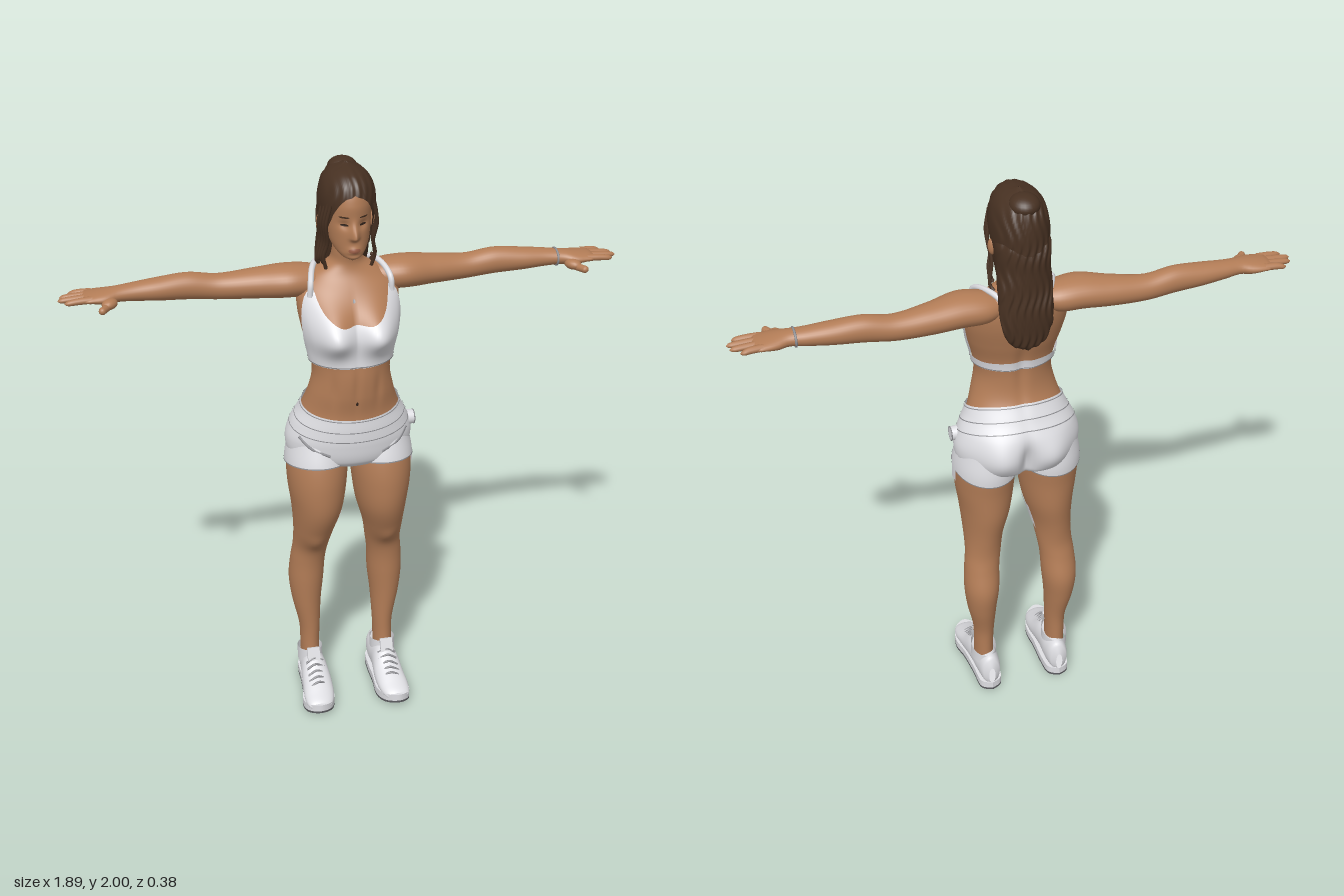
import * as THREE from 'three';
import { mergeVertices } from 'three/addons/utils/BufferGeometryUtils.js';

const PI = Math.PI;
const mat = (name, color, side = THREE.FrontSide) => Object.assign(new THREE.MeshStandardMaterial({ color, side }), { name });
const bell = (d, w) => Math.exp(-((d / w) ** 2));

// Smooth interpolation of table rows [t, ...values]
function at(rows, t) {
  const n = rows.length - 1;
  t = Math.min(Math.max(t, rows[0][0]), rows[n][0]);
  let i = 0;
  while (i < n - 1 && t > rows[i + 1][0]) i++;
  const h = rows[i + 1][0] - rows[i][0], s = (t - rows[i][0]) / h;
  const slope = (k, c) => {
    const a = rows[Math.max(k - 1, 0)], b = rows[Math.min(k + 1, n)];
    return (b[c] - a[c]) / (b[0] - a[0]);
  };
  return rows[i].slice(1).map((p, c) => {
    const q = rows[i + 1][c + 1];
    return p + (q - p) * s * s * (3 - 2 * s) + h * s * (1 - s) * ((1 - s) * slope(i, c + 1) - s * slope(i + 1, c + 1));
  });
}

// Body surface from rows [y, centreX, radiusX, zBack, zFront]; angle 0 is the front
const surface = (rows, bump = () => 0) => (y, a, off = 0) => {
  const [cx, rx, zb, zf] = at(rows, y);
  const x = cx + (Math.max(rx, 0.001) + off) * Math.sin(a);
  const z = (zb + zf) / 2 + (Math.max((zf - zb) / 2, 0.001) + off) * Math.cos(a);
  return new THREE.Vector3(x, y, z + bump(x, y, Math.cos(a)));
};

// Grid of points f(u, v), welded and smooth
function patch(f, nu, nv) {
  const pos = [], idx = [];
  for (let j = 0; j <= nv; j++) for (let i = 0; i <= nu; i++) pos.push(...f(i / nu, j / nv).toArray());
  for (let j = 0; j < nv; j++) for (let i = 0; i < nu; i++) {
    const a = j * (nu + 1) + i, b = a + nu + 1;
    idx.push(a, a + 1, b + 1, a, b + 1, b);
  }
  let g = new THREE.BufferGeometry();
  g.setAttribute('position', new THREE.Float32BufferAttribute(pos, 3));
  g.setIndex(idx);
  g = mergeVertices(g, 1e-5);
  g.computeVertexNormals();
  return g;
}

// Part of a surface between two heights, which may vary with the angle
function shell(s, lo, hi, off = 0, nu = 48, nv = 40, a0 = -PI, a1 = PI) {
  const val = (h, a) => (typeof h === 'function' ? h(a) : h);
  return patch((u, v) => {
    const a = a0 + (a1 - a0) * u, l = val(lo, a);
    return s(l + (val(hi, a) - l) * v, a, off);
  }, nu, nv);
}
const whole = (rows, nu, nv, bump) => shell(surface(rows, bump), rows[0][0], rows[rows.length - 1][0], 0, nu, nv);

// Oval painted detail lying on a surface
const decal = (s, y, a, ry, ra) => patch((u, v) =>
  s(y + ry * (1 - v) * Math.sin(u * 2 * PI), a + ra * (1 - v) * Math.cos(u * 2 * PI), 0.002), 20, 4);

const tube = (pts, r) => new THREE.TubeGeometry(
  new THREE.CatmullRomCurve3(pts.map(p => (p.isVector3 ? p : new THREE.Vector3(...p)))), 24, r, 8);

function mirror(g) {
  const m = g.index ? g.clone() : mergeVertices(g);
  m.scale(-1, 1, 1);
  const ix = m.index.array;
  for (let i = 0; i < ix.length; i += 3) [ix[i], ix[i + 1]] = [ix[i + 1], ix[i]];
  return m;
}

const TORSO = [
  [0.935, 0, 0.004, -0.03, -0.01], [0.945, 0, 0.06, -0.09, 0.04], [0.965, 0, 0.165, -0.135, 0.08], [0.99, 0, 0.2, -0.152, 0.103],
  [1.05, 0, 0.213, -0.163, 0.115], [1.11, 0, 0.197, -0.16, 0.117], [1.17, 0, 0.168, -0.13, 0.115],
  [1.24, 0, 0.145, -0.095, 0.125], [1.31, 0, 0.132, -0.085, 0.128], [1.38, 0, 0.142, -0.09, 0.12],
  [1.45, 0, 0.16, -0.11, 0.112], [1.53, 0, 0.172, -0.13, 0.085], [1.59, 0, 0.165, -0.135, 0.05],
  [1.635, 0, 0.12, -0.13, 0.02], [1.67, 0, 0.062, -0.11, 0.01], [1.71, 0, 0.05, -0.095, 0.015], [1.78, 0, 0.05, -0.09, 0.02]];
const LEG = [
  [0.06, 0.137, 0.034, -0.11, 0], [0.18, 0.137, 0.034, -0.11, -0.01], [0.25, 0.137, 0.037, -0.115, -0.01],
  [0.36, 0.145, 0.052, -0.14, -0.005], [0.45, 0.145, 0.062, -0.15, 0], [0.54, 0.14, 0.062, -0.13, 0.005],
  [0.6, 0.132, 0.063, -0.12, 0.02], [0.68, 0.125, 0.07, -0.125, 0.07], [0.78, 0.115, 0.088, -0.14, 0.113],
  [0.88, 0.114, 0.102, -0.145, 0.122], [0.97, 0.112, 0.105, -0.152, 0.112], [1.06, 0.11, 0.09, -0.14, 0.085]];
const ARM = [
  [0.06, 0, 0.03, -0.11, -0.02], [0.12, 0.002, 0.05, -0.135, 0], [0.2, 0, 0.055, -0.14, 0.01],
  [0.3, 0.007, 0.05, -0.14, -0.02], [0.42, 0.012, 0.043, -0.135, -0.045], [0.52, 0, 0.045, -0.13, -0.045],
  [0.62, 0, 0.038, -0.125, -0.04], [0.7, 0, 0.03, -0.115, -0.04], [0.755, 0, 0.025, -0.107, -0.033],
  [0.79, 0.003, 0.024, -0.117, -0.018], [0.83, 0.002, 0.018, -0.122, -0.018], [0.862, 0.002, 0.012, -0.117, -0.023], [0.872, 0.002, 0.002, -0.09, -0.05]];
const HEAD = [
  [1.7, 0, 0.004, 0.03, 0.05], [1.715, 0, 0.034, -0.02, 0.075], [1.745, 0, 0.058, -0.08, 0.075],
  [1.79, 0, 0.071, -0.13, 0.077], [1.84, 0, 0.076, -0.15, 0.075], [1.89, 0, 0.077, -0.155, 0.077],
  [1.94, 0, 0.066, -0.14, 0.06], [1.975, 0, 0.04, -0.1, 0.02], [1.985, 0, 0.004, -0.05, -0.03]];
const CAP = [
  [1.7, 0, 0.078, -0.17, 0.02], [1.8, 0, 0.088, -0.178, 0.06], [1.88, 0, 0.094, -0.178, 0.088],
  [1.94, 0, 0.083, -0.165, 0.08], [1.975, 0, 0.058, -0.14, 0.05], [1.99, 0, 0.028, -0.1, 0.005], [1.996, 0, 0.003, -0.06, -0.05]];
const MANE = [
  [1.465, 0, 0.004, -0.15, -0.13], [1.49, 0, 0.055, -0.172, -0.112], [1.56, 0, 0.085, -0.182, -0.1],
  [1.66, 0, 0.09, -0.182, -0.06], [1.75, 0, 0.088, -0.18, -0.015], [1.83, 0, 0.09, -0.177, 0], [1.88, 0, 0.07, -0.15, -0.03]];
const SHOE = [
  [-0.15, 0.13, 0.012, -0.1, -0.03], [-0.14, 0.13, 0.032, -0.135, -0.02], [-0.09, 0.13, 0.042, -0.145, -0.015],
  [-0.03, 0.133, 0.045, -0.15, -0.015], [0.01, 0.134, 0.049, -0.145, -0.015], [0.07, 0.135, 0.054, -0.105, -0.015],
  [0.13, 0.14, 0.053, -0.075, -0.015], [0.172, 0.144, 0.038, -0.056, -0.02], [0.188, 0.145, 0.006, -0.042, -0.03]];

// Bust, abdomen groove, buttocks and spine
function torsoForm(x, y, c) {
  const ax = Math.abs(x), f = Math.min(1, Math.max(0, c * 2)), b = Math.min(1, Math.max(0, -c * 2));
  const bust = 0.068 * bell(ax - 0.078, 0.066) * bell(y - 1.462, y > 1.462 ? 0.078 : 0.064);
  const seat = 0.03 * bell(ax - 0.095, 0.065) * bell(y - 1.035, 0.07) - 0.03 * bell(x, 0.022) * bell(y - 1.02, 0.07);
  const abs = 0.006 * bell(x, 0.012) * bell(y - 1.28, 0.08) + 0.006 * bell(ax - 0.075, 0.014) * bell(y - 1.26, 0.06);
  return f * (bust - abs) - b * (seat - 0.01 * bell(x, 0.02) * bell(y - 1.36, 0.14));
}
// Nose, eye sockets, lips and chin
function faceForm(x, y, c) {
  if (c < 0.3) return 0;
  const ax = Math.abs(x);
  return 0.026 * bell(x, 0.013) * bell(y - 1.787, y > 1.787 ? 0.035 : 0.01) - 0.009 * bell(ax - 0.031, 0.017) * bell(y - 1.826, 0.014)
    + 0.007 * bell(x, 0.022) * bell(y - 1.742, 0.012) - 0.004 * bell(x, 0.025) * bell(y - 1.725, 0.007);
}
const hairWave = (x, y, c) => 0.004 * Math.sin(x * 260 + Math.sin(y * 38) * 2.2) * (c < 0 ? 1 : 0.6);

export function createModel() {
  const root = new THREE.Group();
  root.name = 'woman';
  const skin = mat('skin', 0xb27c56), white = mat('white cloth', 0xdedee2, THREE.DoubleSide), grey = mat('grey trim', 0x8e8e92, THREE.DoubleSide);
  const hair = mat('hair', 0x473122, THREE.DoubleSide), lip = mat('lips', 0x9c6048), dark = mat('dark', 0x33241c), sole = mat('sole', 0x5c5c60);
  const add = (name, m, g) => {
    const mesh = new THREE.Mesh(g, m);
    mesh.name = name;
    root.add(mesh);
  };
  const pair = (name, m, g) => { add(name + 'Left', m, g); add(name + 'Right', m, mirror(g)); };
  const torso = surface(TORSO, torsoForm), head = surface(HEAD, faceForm);
  const leg = surface(LEG, (x, y, c) => (c > 0 ? 0.01 * bell(x - 0.128, 0.03) * bell(y - 0.645, 0.03) : 0));

  // Body
  add('torso', skin, shell(torso, 0.935, 1.78, 0, 96, 110));
  add('head', skin, shell(head, 1.7, 1.985, 0, 112, 80));
  pair('leg', skin, shell(leg, 0.06, 1.06, 0, 40, 70));
  const toArm = g => g.rotateZ(-PI / 2).translate(0, 1.605, 0);
  pair('arm', skin, toArm(whole(ARM, 32, 60)));
  [[-0.106, -0.113, 0.91], [-0.083, -0.084, 0.938], [-0.059, -0.058, 0.945], [-0.035, -0.03, 0.925]].forEach(([z0, z1, tip], i) => {
    const rows = [[0.835, 0, 0.012, z0 - 0.013, z0 + 0.013], [0.88, 0.001, 0.011, (z0 + z1) / 2 - 0.012, (z0 + z1) / 2 + 0.012],
      [tip - 0.01, 0.004, 0.008, z1 - 0.009, z1 + 0.009], [tip, 0.005, 0.001, z1 - 0.001, z1 + 0.001]];
    pair('finger' + (i + 1), skin, toArm(whole(rows, 12, 14)));
  });
  pair('thumb', skin, new THREE.CapsuleGeometry(0.0125, 0.06, 6, 12).rotateX(PI / 2).rotateY(0.57).translate(0.793, 1.587, -0.003));
  pair('thumbBase', skin, new THREE.SphereGeometry(1, 16, 12).scale(0.024, 0.018, 0.032).rotateY(0.57).translate(0.782, 1.592, -0.022));

  // Face
  pair('ear', skin, new THREE.SphereGeometry(1, 16, 12).scale(0.012, 0.028, 0.017).rotateY(0.3).translate(0.088, 1.805, -0.05));
  pair('eye', dark, decal(head, 1.826, 0.41, 0.004, 0.17));
  pair('eyebrow', hair, decal(head, 1.853, 0.43, 0.003, 0.22));
  add('lips', lip, decal(head, 1.742, 0, 0.008, 0.36));
  add('navel', dark, decal(torso, 1.215, 0, 0.007, 0.03));
  add('pendant', grey, decal(torso, 1.565, 0, 0.006, 0.025));

  // Hair
  const hairline = a => at([[0, 1.928], [0.5, 1.9], [0.9, 1.82], [1.2, 1.74], [1.6, 1.705], [PI, 1.705]], Math.abs(a))[0];
  add('hairCap', hair, shell(surface(CAP, hairWave), hairline, 2, 0, 96, 40));
  add('hairBack', hair, whole(MANE, 96, 60, hairWave));
  add('hairKnot', hair, new THREE.SphereGeometry(1, 24, 16).scale(0.05, 0.035, 0.055).translate(0, 1.965, -0.105));
  for (let i = 0; i < 4; i++) {
    const z = 0.035 - i * 0.02, x = 0.07 + i * 0.004;
    pair('strand' + (i + 1), hair, tube([[x, 1.89, z + 0.01], [x + 0.014, 1.82, z], [x + 0.006, 1.75, z - 0.02],
      [x + 0.016, 1.7 - 0.01 * i, z - 0.035], [x + 0.006, 1.655 + 0.012 * (i % 3), z - 0.045]], 0.006));
  }

  // Sports top
  const topEdge = a => at([[0, 1.502], [0.3, 1.502], [0.6, 1.535], [0.82, 1.595], [1, 1.59], [1.2, 1.525], [1.4, 1.44], [1.65, 1.388], [PI, 1.385]], Math.abs(a))[0];
  add('top', white, shell(torso, 1.35, topEdge, 0.007, 112, 50));
  add('topHem', grey, shell(torso, 1.352, 1.356, 0.009, 96, 2));
  pair('strap', white, tube([torso(1.575, 0.92, 0.002), [0.134, 1.62, 0.022], [0.118, 1.65, -0.035], [0.09, 1.652, -0.1], [0.06, 1.62, -0.135]], 0.01));

  // Shorts
  const waist = a => 1.19 - 0.035 * Math.cos(a), hem = a => 0.957 + 0.02 * Math.cos(a);
  add('shorts', white, shell(torso, 0.935, waist, 0.007, 96, 50));
  pair('shortsLeg', white, shell(leg, hem, 1.06, 0.006, 48, 14));
  pair('shortsHem', grey, shell(leg, hem, a => hem(a) + 0.004, 0.0075, 48, 2));
  [0.005, 0.045, 0.08].forEach((d, i) =>
    add('waistSeam' + (i + 1), grey, shell(torso, a => waist(a) - d - 0.003, a => waist(a) - d, 0.009, 96, 2)));
  pair('shortsFold', grey, tube([torso(1.08, 1.05, 0.006), torso(1.045, 0.75, 0.006), torso(1.02, 0.42, 0.006)], 0.006));

  // Hip pack, hanging tab and inner thigh patch
  add('hipPack', white, new THREE.CylinderGeometry(0.024, 0.026, 0.024, 24).rotateZ(-PI / 2).translate(0.216, 1.085, -0.005));
  add('hipPackRim', grey, new THREE.TorusGeometry(0.024, 0.002, 8, 24).rotateY(PI / 2).translate(0.227, 1.085, -0.005));
  add('hipTab', white, shell(leg, 0.91, 1.02, 0.008, 6, 8, 1.5, 1.78));
  add('thighPatch', white, mirror(shell(leg, a => 0.65 + 0.08 * (a + 1.9), 0.755, 0.004, 10, 8, -1.9, -1.25)));

  // Bracelet
  add('bracelet', grey, new THREE.TorusGeometry(0.034, 0.004, 8, 28).rotateY(PI / 2).scale(1, 0.82, 1.1).translate(0.735, 1.605, -0.073));

  // Shoes
  pair('shoe', white, whole(SHOE, 32, 40).rotateX(PI / 2));
  pair('shoeCollar', white, shell(leg, 0.1, a => 0.153 + 0.012 * Math.cos(a), 0.011, 32, 6));
  pair('shoeTongue', white, new THREE.BoxGeometry(0.045, 0.05, 0.012).rotateX(-0.35).translate(0.137, 0.155, 0.012));
  for (let i = 0; i < 5; i++) {
    const z = 0.02 + i * 0.02, y = -at(SHOE, z)[2] + 0.001;
    pair('lace' + (i + 1), grey, tube([[0.104, y - 0.014, z - 0.004], [0.136, y + 0.002, z], [0.168, y - 0.014, z + 0.004]], 0.004));
  }
  const outline = new THREE.Shape();
  outline.moveTo(0.13, 0.155);
  outline.splineThru([[0.168, 0.13], [0.174, 0.05], [0.183, -0.04], [0.197, -0.11], [0.184, -0.165], [0.145, -0.191], [0.102, -0.165],
    [0.08, -0.1], [0.084, -0.02], [0.084, 0.06], [0.092, 0.13], [0.13, 0.155]].map(p => new THREE.Vector2(...p)));
  const slab = (y, depth) => {
    const g = new THREE.ExtrudeGeometry(outline, { depth, bevelEnabled: false, curveSegments: 48 }).rotateX(-PI / 2);
    const p = g.attributes.position;
    for (let i = 0; i < p.count; i++) p.setY(i, p.getY(i) + y + 2 * Math.max(0, p.getZ(i) - 0.09) ** 2);
    return g;
  };
  pair('midsole', white, slab(0.008, 0.026));
  pair('outsole', sole, slab(0, 0.008));
  return root;
}
